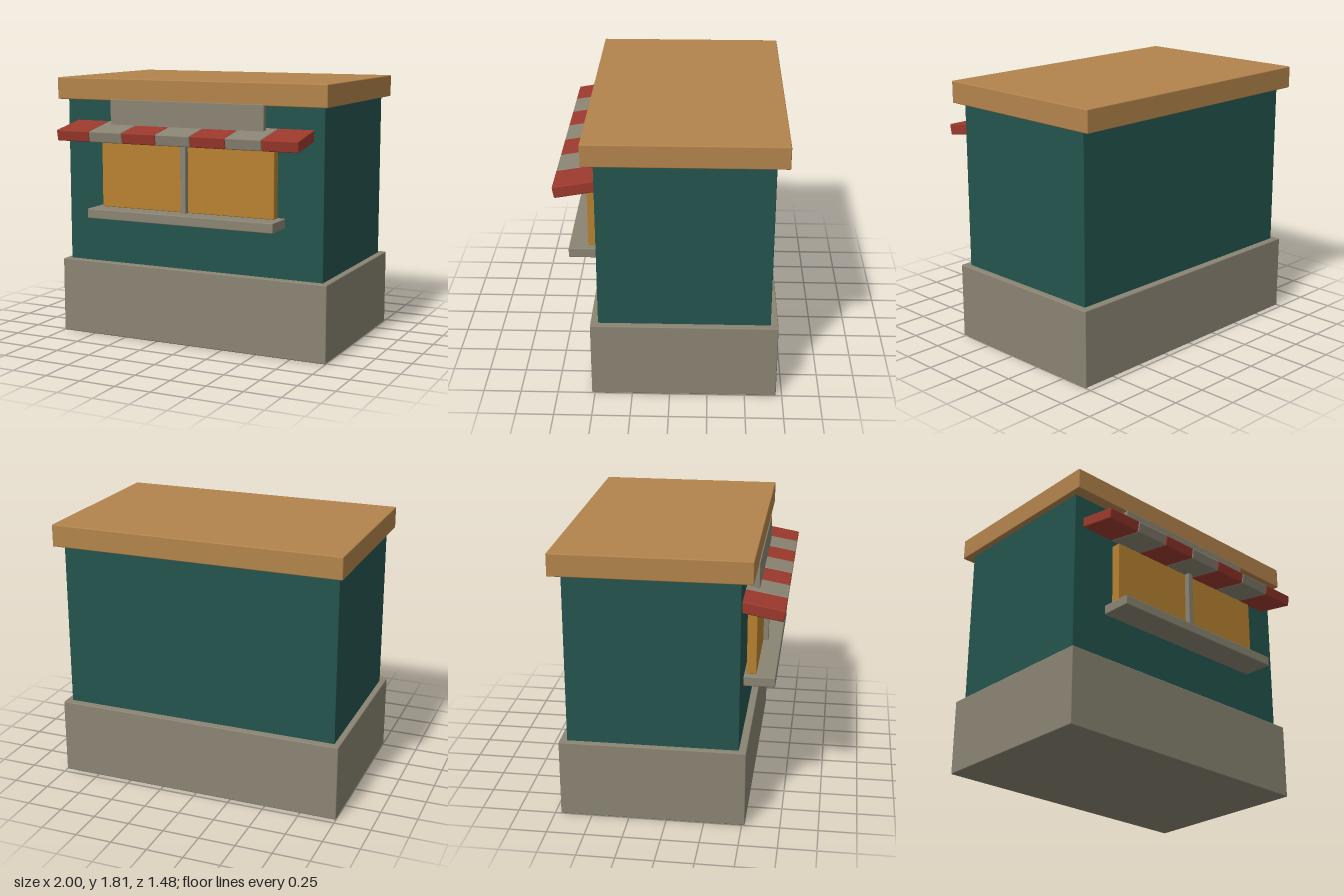
import * as THREE from 'three';
import { RoundedBoxGeometry } from 'three/addons/geometries/RoundedBoxGeometry.js';

const material = (name, color) => {
  const m = new THREE.MeshStandardMaterial({ color });
  m.name = name;
  return m;
};

export function createModel() {
  const stone = material('stone grey', 0x8a8473);
  const teal = material('teal wall', 0x24544e);
  const wood = material('roof wood', 0xb3844c);
  const amber = material('amber window', 0xb88230);
  const red = material('awning red', 0x9c392d);

  const model = new THREE.Group();
  model.name = 'kiosk';

  // Softly bevelled block given by its lower and upper bounds
  const block = (name, mat, [x0, x1], [y0, y1], [z0, z1], bevel = 0.007) => {
    const geo = new RoundedBoxGeometry(x1 - x0, y1 - y0, z1 - z0, 2, bevel);
    const mesh = new THREE.Mesh(geo, mat);
    mesh.name = name;
    mesh.position.set((x0 + x1) / 2, (y0 + y1) / 2, (z0 + z1) / 2);
    model.add(mesh);
    return mesh;
  };

  // Main stack: plinth, walls, roof slab
  block('base', stone, [-1, 1], [0, 0.525], [-0.71, 0.52]);
  block('walls', teal, [-0.96, 0.956], [0.5, 1.68], [-0.66, 0.47], 0.004);
  block('roof', wood, [-1, 1], [1.663, 1.813], [-0.74, 0.547]);

  // Serving window with centre post and counter
  block('window', amber, [-0.645, 0.642], [0.93, 1.382], [0.485, 0.55], 0.005);
  block('windowPost', stone, [-0.022, 0.018], [0.925, 1.382], [0.545, 0.586], 0.004);
  block('counter', stone, [-0.692, 0.688], [0.862, 0.93], [0.455, 0.677]);

  // Blank sign board above the awning
  block('signBoard', stone, [-0.572, 0.568], [1.478, 1.672], [0.515, 0.554], 0.004);

  // Sloping awning of seven alternating slats
  const awning = new THREE.Group();
  awning.name = 'awning';
  const slat = new RoundedBoxGeometry(0.252, 0.076, 0.29, 2, 0.008);
  for (let i = 0; i < 7; i++) {
    const mesh = new THREE.Mesh(slat, i % 2 ? stone : red);
    mesh.name = 'awningSlat';
    mesh.position.x = (i - 3) * 0.2533;
    awning.add(mesh);
  }
  awning.position.set(-0.003, 1.455, 0.592);
  awning.rotation.x = THREE.MathUtils.degToRad(10);
  model.add(awning);

  return model;
}
